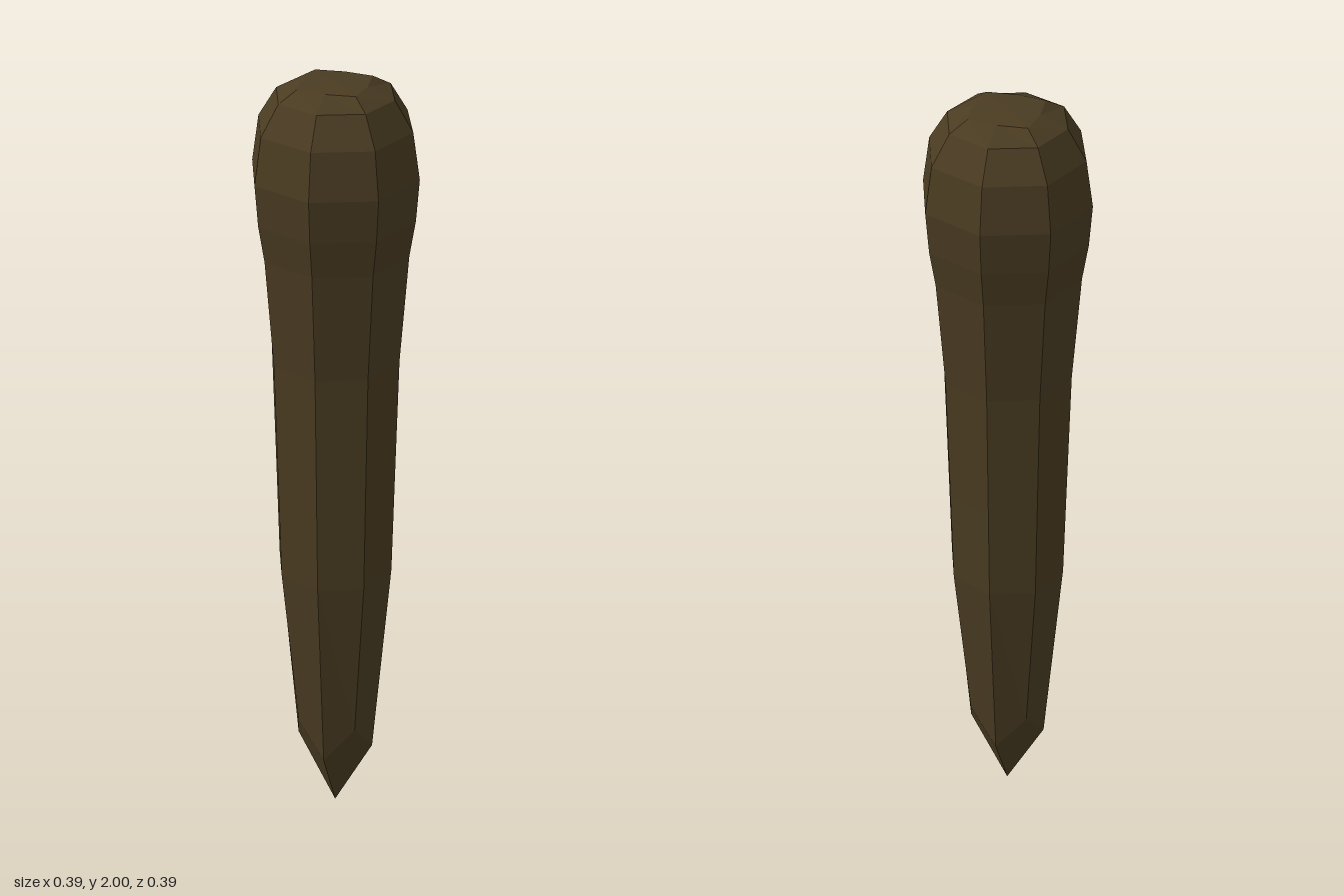
import * as THREE from 'three';

// Profile from the tip up to the domed head: radius at the corners on the axes, then height
const PROFILE = [
  [0, 0], [0.1, 0.2], [0.145, 0.75], [0.15, 1.0], [0.157, 1.33], [0.176, 1.6],
  [0.19, 1.69], [0.197, 1.79], [0.18, 1.9], [0.137, 1.97], [0.075, 1.995], [0, 2],
];

export function createModel() {
  const group = new THREE.Group();
  const darkWood = new THREE.MeshStandardMaterial({ color: 0x4a3c22, flatShading: true });

  // Eight-sided shaft, with corners on the axes and on the diagonals
  const geometry = new THREE.LatheGeometry(PROFILE.map(([r, y]) => new THREE.Vector2(r, y)), 8);
  const position = geometry.attributes.position;
  for (let i = 0; i < position.count; i++) {
    const row = i % PROFILE.length;
    const side = Math.floor(i / PROFILE.length);
    let x = position.getX(i), y = position.getY(i), z = position.getZ(i);
    if (side % 2 === 1) {
      // Diagonal corners sit slightly further out; the tip is cut as a four-sided point
      let k = 1.025;
      if (row === 1) { k = 1.06; y = 0.295; }
      if (row === PROFILE.length - 2) k = 1.27;
      x *= k;
      z *= k;
    }
    position.setXYZ(i, x, y, z * 0.99);
  }
  const flat = geometry.toNonIndexed();
  flat.computeVertexNormals();

  const stake = new THREE.Mesh(flat, darkWood);
  darkWood.name = 'darkWood';
  stake.name = 'stake';
  group.add(stake);
  return group;
}
